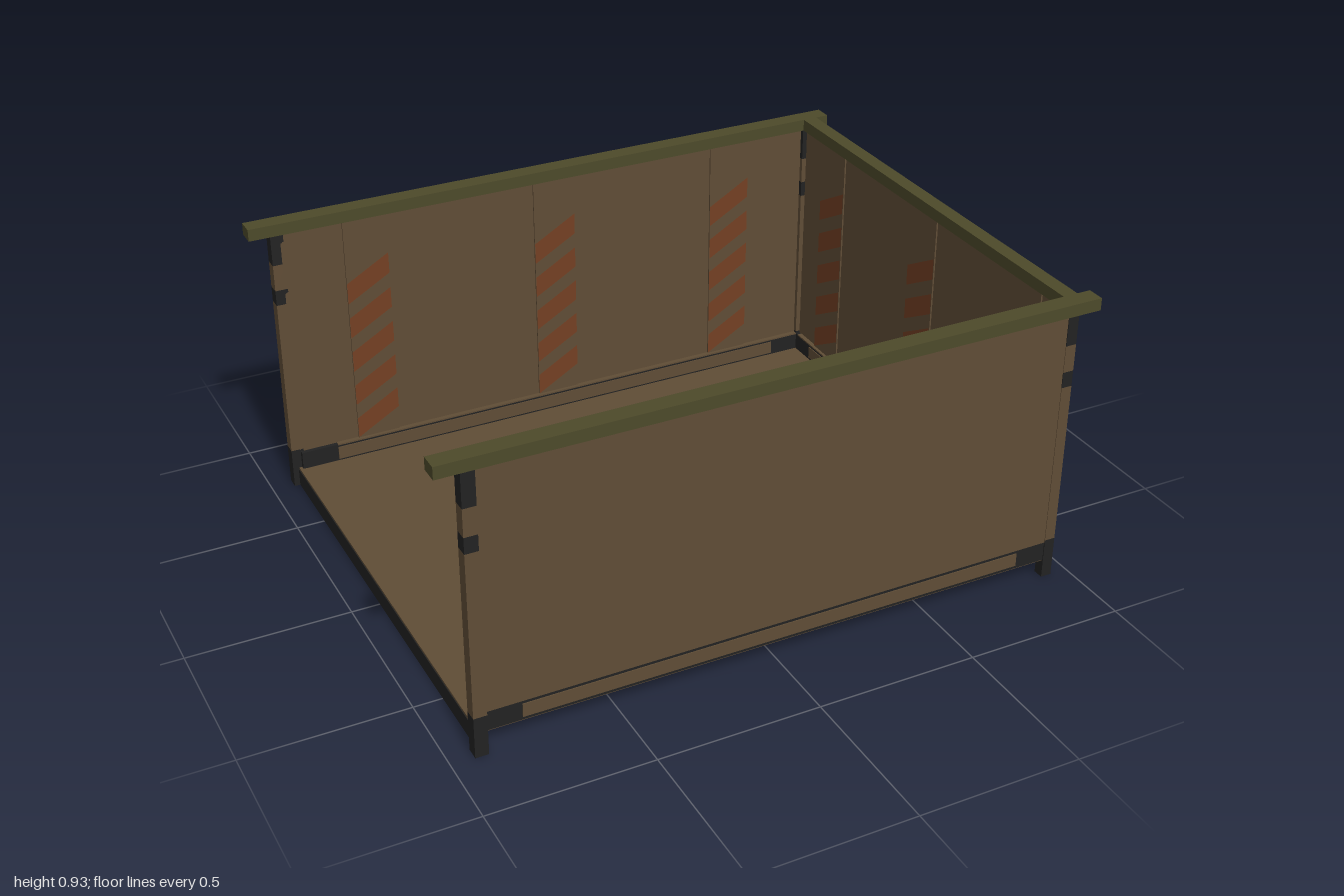
import * as THREE from 'three';

const material = (name, color) => {
  const m = new THREE.MeshStandardMaterial({ color });
  m.name = name;
  return m;
};

export function createModel() {
  const brown = material('brown board', 0x604d36);
  const olive = material('olive rail', 0x4d4a2a);
  const black = material('black iron', 0x222222);
  const rust = material('rust stripe', 0x744023);
  const root = new THREE.Group();
  root.name = 'openPen';

  // Box given by its extents on each axis
  const box = (name, mat, [x0, x1], [y0, y1], [z0, z1], parent = root) => {
    const mesh = new THREE.Mesh(new THREE.BoxGeometry(x1 - x0, y1 - y0, z1 - z0), mat);
    mesh.position.set((x0 + x1) / 2, (y0 + y1) / 2, (z0 + z1) / 2);
    mesh.name = name;
    parent.add(mesh);
    return mesh;
  };
  const span = (s, a, b) => (s > 0 ? [a, b] : [-b, -a]);

  // Thin low floor with an iron beam under its open edge
  box('floor', brown, [-0.91, 0.935], [0.055, 0.064], [-0.75, 0.75]);
  box('openSideBeam', black, [-0.912, -0.892], [0, 0.058], [-0.74, 0.74]);

  // Post built from alternating iron and board sections
  const sections = [
    ['postFoot', black, 0, 0.13], ['postLower', brown, 0.13, 0.65], ['postBand', black, 0.65, 0.7],
    ['postUpper', brown, 0.7, 0.785], ['postHead', black, 0.785, 0.889],
  ];
  const addPost = (name, x, z) => {
    const post = new THREE.Group();
    post.name = name;
    for (const [part, mat, y0, y1] of sections) box(part, mat, x, [y0, y1], z, post);
    root.add(post);
  };

  // Front and back walls, their sills, top rails and corner posts
  for (const s of [1, -1]) {
    const side = s > 0 ? 'front' : 'back';
    box(side + 'Wall', brown, [-0.9, 0.915], [0.122, 0.889], span(s, 0.738, 0.755));
    box(side + 'Sill', black, [-0.9, 0.915], [0.06, 0.122], span(s, 0.724, 0.754));
    box(side + 'SillBoard', brown, [-0.78, 0.81], [0.07, 0.113], span(s, 0.721, 0.757));
    box(side + 'SillLedge', brown, [-0.78, 0.91], [0.119, 0.124], span(s, 0.723, 0.75));
    box(side + 'TopRail', olive, [-1, 1], [0.889, 0.927], span(s, 0.722, 0.778));
    addPost(side + 'RightPost', [-0.93, -0.89], span(s, 0.738, 0.778));
    addPost(side + 'LeftPost', [0.91, 0.944], span(s, 0.724, 0.757));
  }

  // Closed side wall
  box('sideWall', brown, [0.925, 0.942], [0.122, 0.889], [-0.73, 0.73]);
  box('sideSill', black, [0.911, 0.941], [0.06, 0.122], [-0.73, 0.73]);
  box('sideSillBoard', brown, [0.908, 0.944], [0.072, 0.113], [-0.63, 0.6]);
  box('sideSillLedge', brown, [0.91, 0.93], [0.119, 0.124], [-0.71, 0.71]);
  box('sideTopRail', olive, [0.91, 0.957], [0.889, 0.927], [-0.722, 0.722]);

  // Slanted rust stripes making up one upright band
  const stripes = [];
  const w = 0.07;
  for (let y = 0.126; y < 0.72; y += 0.12) {
    stripes.push(new THREE.Shape([
      new THREE.Vector2(-w, y), new THREE.Vector2(w, y + 0.08),
      new THREE.Vector2(w, y + 0.15), new THREE.Vector2(-w, y + 0.07),
    ]));
  }
  const stripeGeometry = new THREE.ShapeGeometry(stripes);

  // Three striped slats on the inside of each wall
  const addSlats = (name, x, z, turn, step) => {
    const group = new THREE.Group();
    group.name = name;
    group.position.set(x, 0, z);
    group.rotation.y = turn;
    for (const i of [-1, 0, 1]) {
      box('slat', brown, [i * step - w, i * step + w], [0.124, 0.889], [0, 0.006], group);
      const band = new THREE.Mesh(stripeGeometry, rust);
      band.name = 'slatStripes';
      band.position.set(i * step, 0, 0.008);
      group.add(band);
    }
    root.add(group);
  };
  addSlats('backSlats', 0, -0.739, 0, 0.635);
  addSlats('frontSlats', 0, 0.739, Math.PI, 0.635);
  addSlats('sideSlats', 0.926, 0, -Math.PI / 2, 0.54);

  return root;
}
